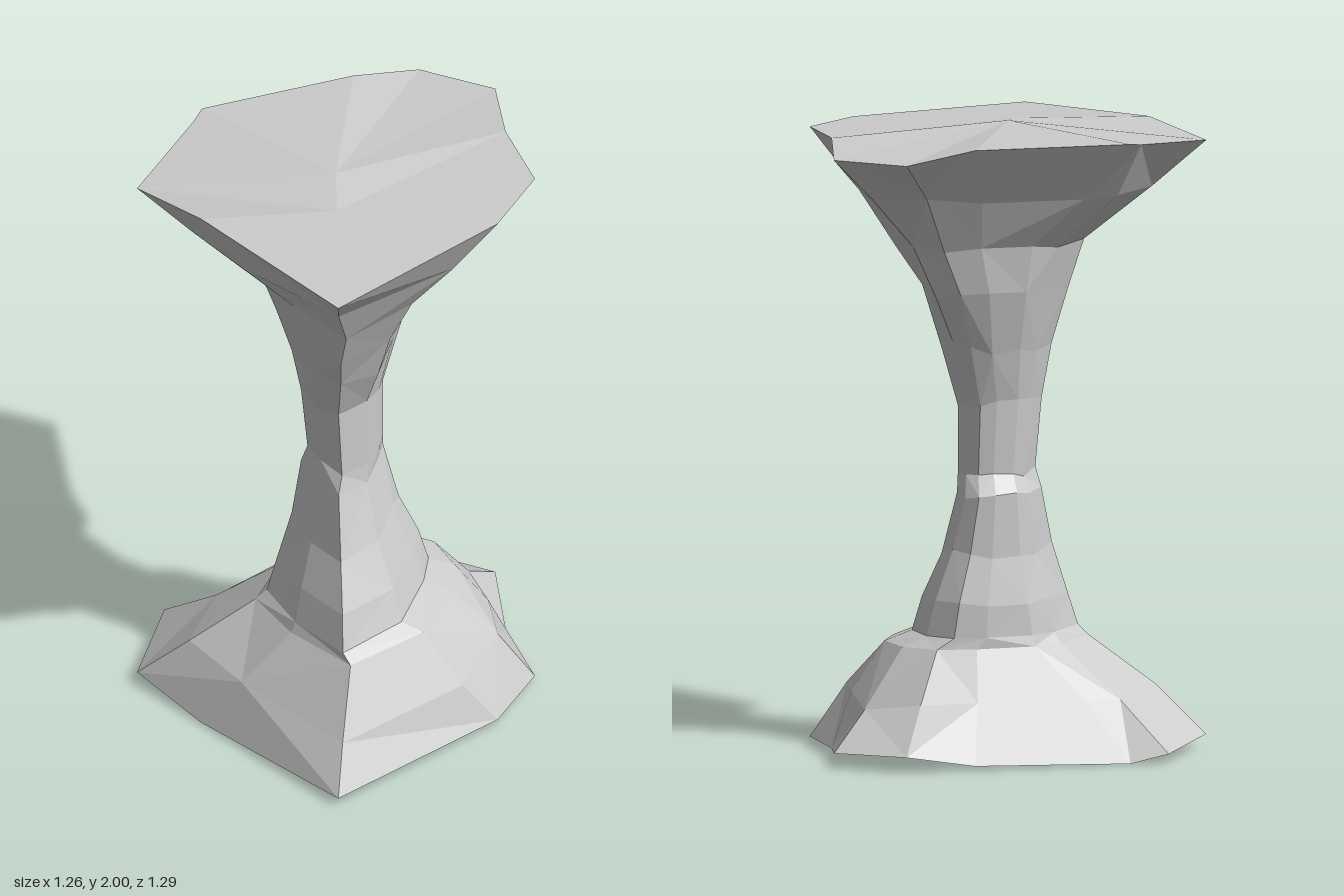
import * as THREE from 'three';

// Outline shared by the foot and the top edge: x, z, foot height, top height
const RIM = [
  [0, 0.645, 0.03, 1.957], [0.51, 0.215, 0.02, 1.97], [0.63, -0.02, 0.018, 1.972],
  [0.54, -0.27, 0.02, 1.975], [0.51, -0.54, 0.045, 1.945], [0.27, -0.645, 0.05, 1.945],
  [0.06, -0.56, 0.012, 1.985], [-0.42, -0.39, 0.0, 1.985], [-0.54, -0.37, 0.03, 1.95],
  [-0.63, -0.02, 0.042, 1.945], [-0.43, 0.2, 0.005, 1.985],
];
const CHIPPED = 8; // corner that is broken off at the top
const CHIP = new THREE.Vector3(-0.45, 1.975, -0.33);

// Outline of the waist in units of its half width and half depth
const WAIST = [
  [-0.1, 1], [0.6, 0.55], [0.9, -0.15], [1, -0.5], [0.75, -0.85], [0.4, -1],
  [0, -0.95], [-0.5, -0.75], [-0.75, -0.5], [-1, 0], [-0.65, 0.55],
];

// Cross-sections from foot to top: y, xMin, xMax, zMin, zMax, share of waist outline, jitter in y
const LEVELS = [
  [0.18, -0.465, 0.53, -0.465, 0.525, 0.35, 0.02],
  [0.35, -0.255, 0.39, -0.345, 0.37, 0.8, 0],
  [0.385, -0.22, 0.3, -0.33, 0.35, 0.85, 0],
  [0.49, -0.19, 0.265, -0.32, 0.3, 0.9, 0.01],
  [0.65, -0.14, 0.2, -0.275, 0.205, 1, 0.02],
  [0.83, -0.11, 0.15, -0.26, 0.12, 1, 0.012],
  [0.89, -0.09, 0.15, -0.21, 0.09, 1, 0.012],
  [1.12, -0.11, 0.15, -0.21, 0.095, 1, 0.02],
  [1.3, -0.14, 0.2, -0.26, 0.185, 1, 0.02],
  [1.48, -0.19, 0.26, -0.325, 0.275, 1, 0.02],
  [1.63, -0.24, 0.35, -0.355, 0.355, 0.9, 0.015],
  [1.8, -0.455, 0.5, -0.45, 0.48, 0.4, 0.01],
];

function seeded(seed) {
  return () => {
    seed = (seed * 16807) % 2147483647;
    return seed / 2147483647;
  };
}

// Blend rim and waist outlines and fit them into the extents of one level
function ring([y, x0, x1, z0, z1, share, jitter], random) {
  return RIM.map(([rx, rz], i) => {
    const u = THREE.MathUtils.lerp(rx / 0.63, WAIST[i][0], share);
    const v = THREE.MathUtils.lerp(rz / 0.645, WAIST[i][1], share);
    return new THREE.Vector3(
      (x0 + x1) / 2 + (u * (x1 - x0)) / 2,
      y + (random() * 2 - 1) * jitter,
      (z0 + z1) / 2 + (v * (z1 - z0)) / 2
    );
  });
}

function facetedMesh(triangles, name, material) {
  const geometry = new THREE.BufferGeometry().setFromPoints(triangles);
  geometry.computeVertexNormals();
  const mesh = new THREE.Mesh(geometry, material);
  mesh.name = name;
  return mesh;
}

export function createModel() {
  const group = new THREE.Group();
  group.name = 'rockPillar';
  const material = new THREE.MeshStandardMaterial({
    color: 0xcccccc, flatShading: true, side: THREE.DoubleSide,
  });
  const random = seeded(17);
  const n = RIM.length;

  const foot = RIM.map(([x, z, y]) => new THREE.Vector3(x, y, z));
  const top = RIM.map(([x, z, , y], i) => (i === CHIPPED ? CHIP : new THREE.Vector3(x, y, z)));
  const rings = [foot, ...LEVELS.map((level) => ring(level, random)), top];

  // Waisted stone shaft, open underneath, with alternating diagonals
  const shaft = [];
  for (let r = 0; r < rings.length - 1; r++) {
    for (let i = 0; i < n; i++) {
      const j = (i + 1) % n;
      const a = rings[r][i], b = rings[r][j], c = rings[r + 1][j], d = rings[r + 1][i];
      if ((r + i) % 2) shaft.push(a, b, c, a, c, d);
      else shaft.push(a, b, d, b, c, d);
    }
  }
  group.add(facetedMesh(shaft, 'shaft', material));

  // Gently uneven top surface around a front and a middle crown point
  const front = new THREE.Vector3(0, 1.98, 0.155);
  const middle = new THREE.Vector3(0, 2, -0.02);
  const crown = (p) => (p.z > -0.1 ? front : middle);
  const slab = [];
  for (let i = 0; i < n; i++) {
    const p = top[i], q = top[(i + 1) % n];
    slab.push(crown(p), p, q);
    if (crown(p) !== crown(q)) slab.push(crown(p), q, crown(q));
  }
  group.add(facetedMesh(slab, 'topSurface', material));

  return group;
}
